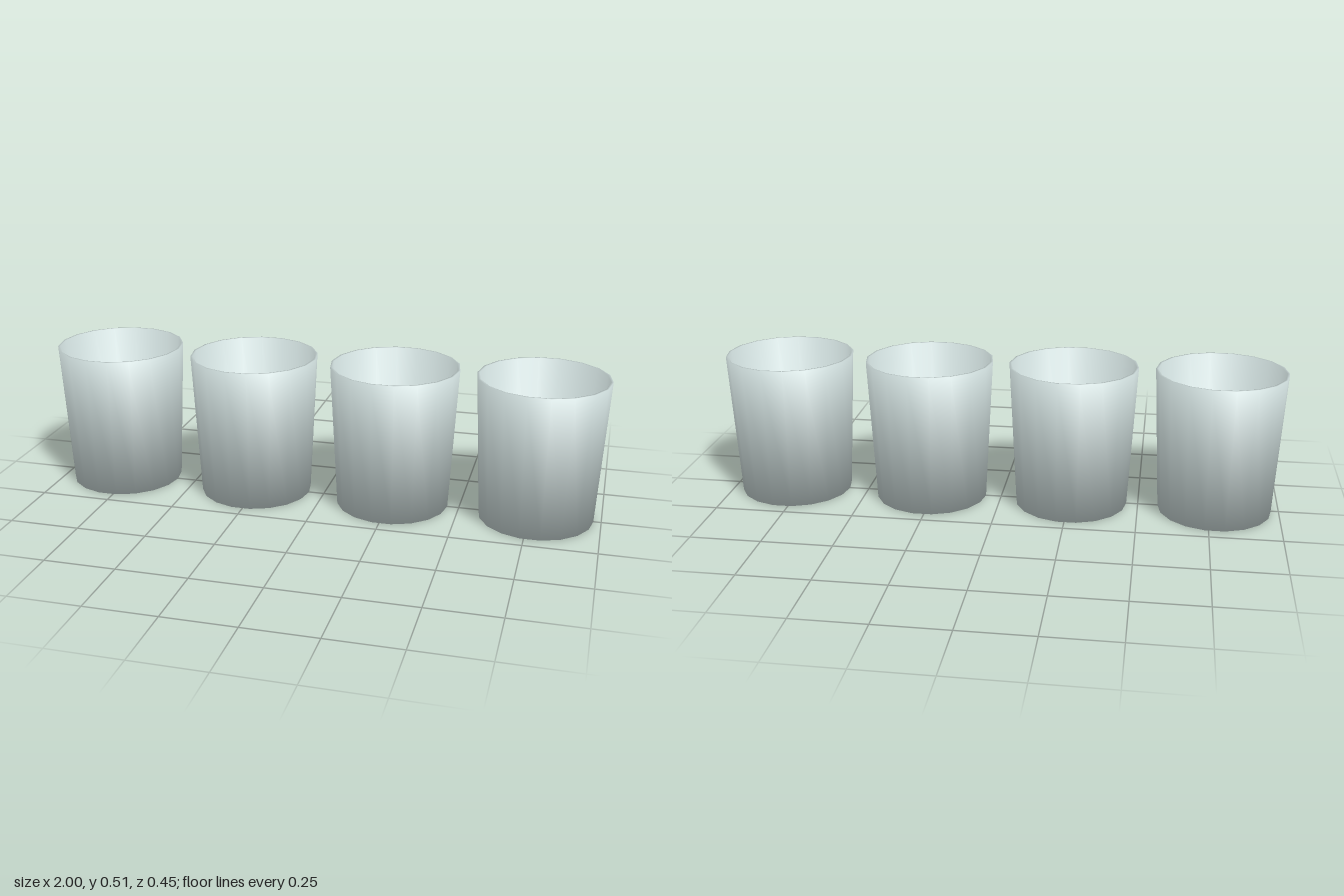
import * as THREE from 'three';

const SIDES = 18;

// Cup profile (radius, height): base centre, outer wall, rim, inner wall, floor centre
const PROFILE = [
  [0, 0], [0.201, 0], [0.228, 0.515], [0.22, 0.515], [0.193, 0.01], [0, 0.01],
].map(([r, y]) => new THREE.Vector2(r, y));

// Lathe whose normals are the even bisectors of neighbouring profile faces,
// so base, wall and rim blend softly into each other
function cupGeometry() {
  const geometry = new THREE.LatheGeometry(PROFILE, SIDES, Math.PI / 2);
  const faceNormals = PROFILE.slice(1).map((p, i) => {
    const d = p.clone().sub(PROFILE[i]).normalize();
    return new THREE.Vector2(d.y, -d.x);
  });
  const last = faceNormals.length - 1;
  const normals = PROFILE.map((_, i) => faceNormals[Math.max(i - 1, 0)].clone()
    .add(faceNormals[Math.min(i, last)]).normalize());

  const attribute = geometry.attributes.normal;
  for (let s = 0; s <= SIDES; s++) {
    const phi = Math.PI / 2 + (s / SIDES) * Math.PI * 2;
    normals.forEach((n, j) => attribute.setXYZ(
      s * PROFILE.length + j, n.x * Math.sin(phi), n.y, n.x * Math.cos(phi)));
  }
  return geometry;
}

export function createModel() {
  const group = new THREE.Group();
  group.name = 'rowOfTumblers';

  const glass = new THREE.MeshStandardMaterial({ color: 0xc6d4d3 });
  glass.name = 'paleGlass';

  // Four equal tumblers in a row
  const geometry = cupGeometry();
  for (let i = 0; i < 4; i++) {
    const cup = new THREE.Mesh(geometry, glass);
    cup.name = `tumbler${i + 1}`;
    cup.position.x = (i - 1.5) * 0.5147;
    group.add(cup);
  }
  return group;
}
